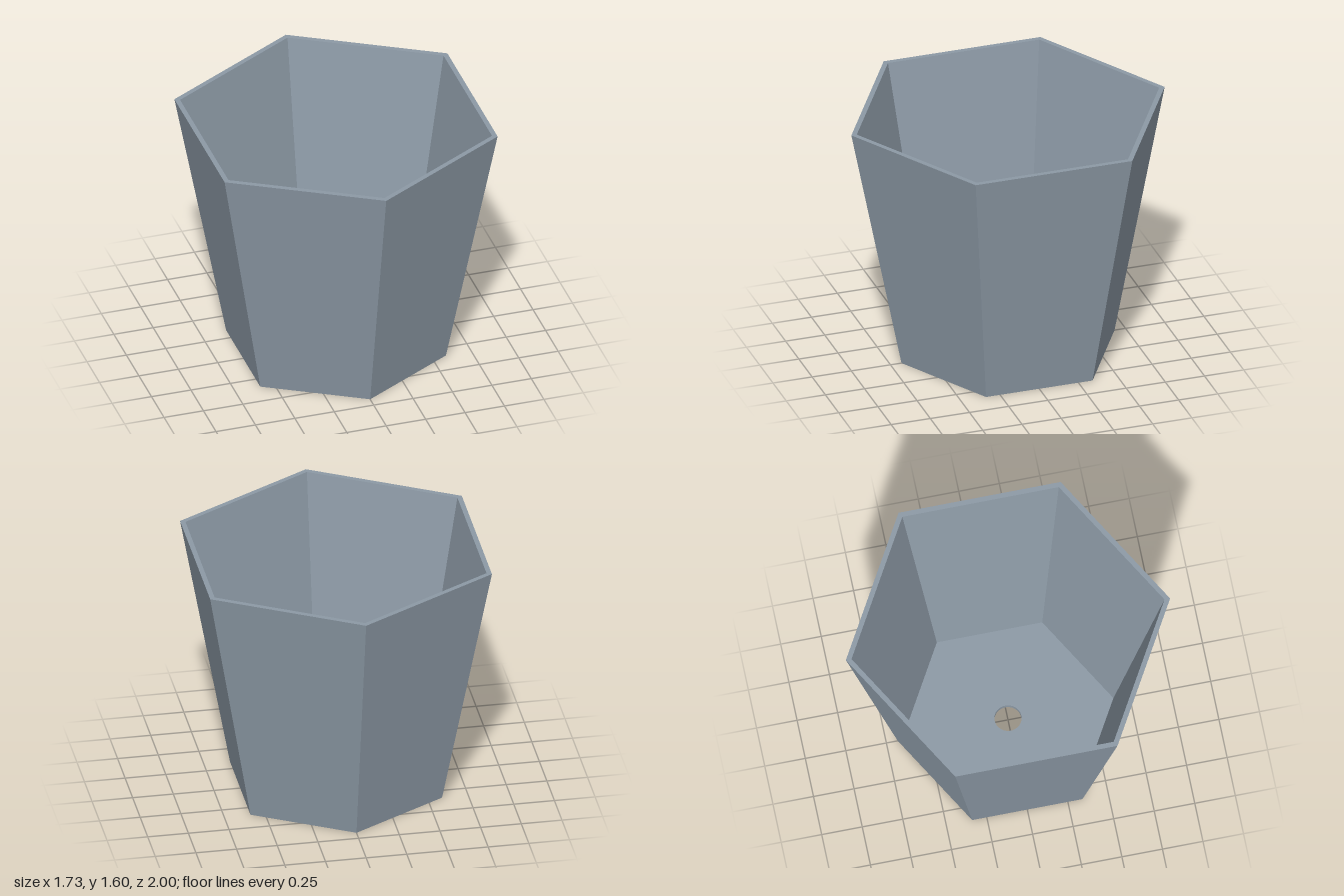
import * as THREE from 'three';

const SIDES = 6;
const HEIGHT = 1.6;
const FLOOR = 0.03;
const BASE_R = 0.68, TOP_R = 1.0;
const INNER_BASE_R = 0.65, INNER_TOP_R = 0.965;
const HOLE_R = 0.082, HOLE_SEGMENTS = 48;

// Six-sided surface through [radius, height] points, with a corner facing +z
function hexSurface(points) {
  const profile = points.map(([r, y]) => new THREE.Vector2(r, y));
  const geometry = new THREE.LatheGeometry(profile, SIDES).toNonIndexed();
  geometry.computeVertexNormals();
  return geometry;
}

// Flat hexagon with a round drain hole, facing up or down
function hexPlate(radius, y, facingUp) {
  const shape = new THREE.Shape();
  for (let i = 0; i < SIDES; i++) {
    const a = Math.PI / 2 + (i * 2 * Math.PI) / SIDES;
    const x = radius * Math.cos(a), z = radius * Math.sin(a);
    if (i === 0) shape.moveTo(x, z);
    else shape.lineTo(x, z);
  }
  shape.closePath();
  const hole = new THREE.Path();
  hole.absarc(0, 0, HOLE_R, 0, Math.PI * 2, true);
  shape.holes.push(hole);
  return new THREE.ShapeGeometry(shape, HOLE_SEGMENTS / 2)
    .rotateX(facingUp ? -Math.PI / 2 : Math.PI / 2)
    .translate(0, y, 0);
}

export function createModel() {
  const group = new THREE.Group();
  group.name = 'planter';
  const clay = new THREE.MeshStandardMaterial({ color: 0x8c99a5 });
  clay.name = 'blue grey';

  const add = (name, geometry) => {
    const mesh = new THREE.Mesh(geometry, clay);
    mesh.name = name;
    group.add(mesh);
  };

  // Tapered walls and the narrow rim joining them
  add('outerWall', hexSurface([[BASE_R, 0], [TOP_R, HEIGHT]]));
  add('rim', hexSurface([[TOP_R, HEIGHT], [INNER_TOP_R, HEIGHT]]));
  add('innerWall', hexSurface([[INNER_TOP_R, HEIGHT], [INNER_BASE_R, FLOOR]]));

  // Floor and underside, both pierced by the drain hole
  add('floor', hexPlate(INNER_BASE_R, FLOOR, true));
  add('underside', hexPlate(BASE_R, 0, false));

  // Inside of the drain hole, running downwards so it faces the axis
  add('drainHole', new THREE.LatheGeometry(
    [new THREE.Vector2(HOLE_R, FLOOR), new THREE.Vector2(HOLE_R, 0)], HOLE_SEGMENTS));

  return group;
}
